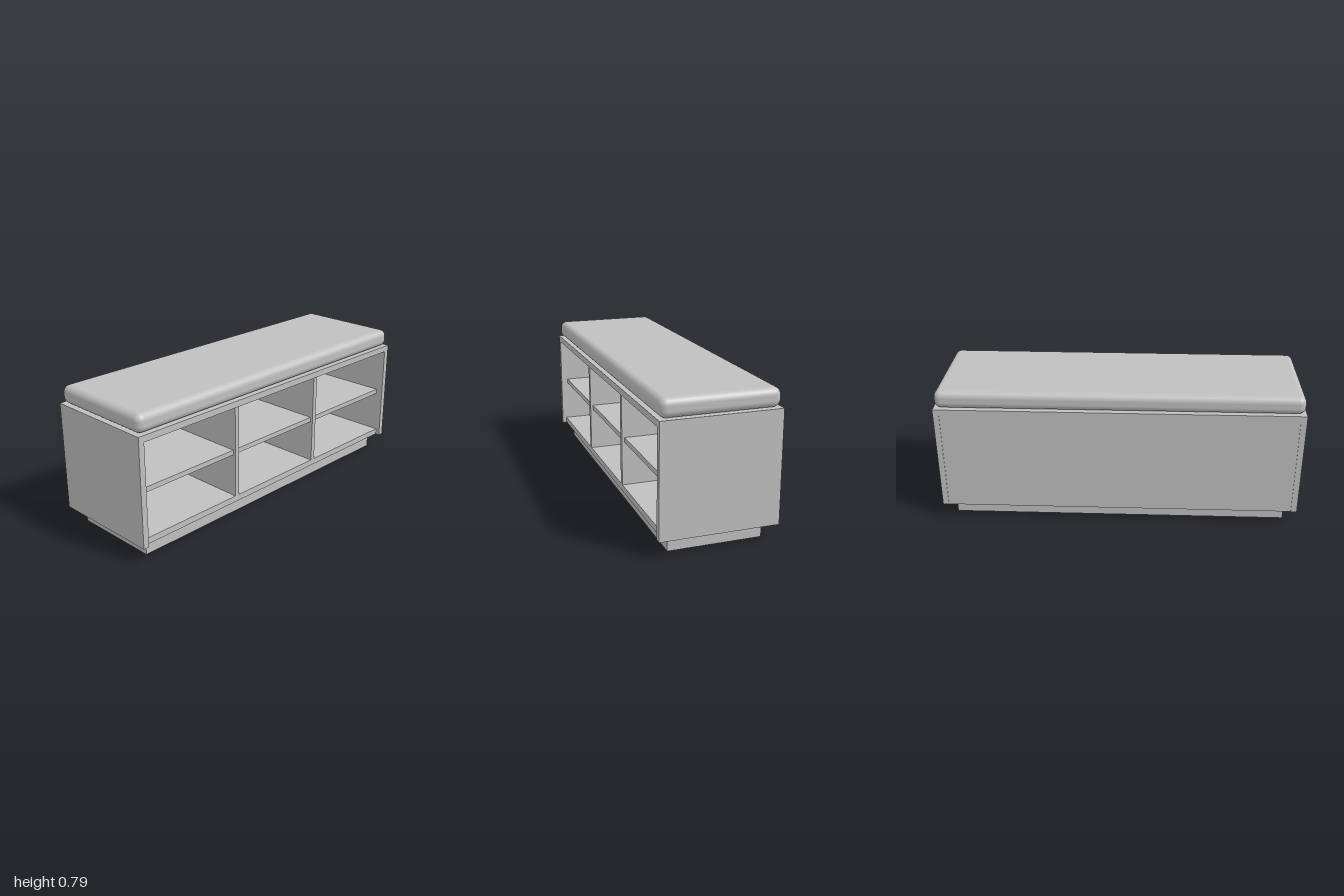
import * as THREE from 'three';
import { RoundedBoxGeometry } from 'three/addons/geometries/RoundedBoxGeometry.js';

export function createModel() {
  const bench = new THREE.Group();
  bench.name = 'storageBench';
  const grey = new THREE.MeshStandardMaterial({ color: 0xc0c0c0 });
  grey.name = 'light grey';

  // Adds a board spanning the given limits on each axis
  const board = (name, [x0, x1], [y0, y1], [z0, z1]) => {
    const mesh = new THREE.Mesh(new THREE.BoxGeometry(x1 - x0, y1 - y0, z1 - z0), grey);
    mesh.position.set((x0 + x1) / 2, (y0 + y1) / 2, (z0 + z1) / 2);
    mesh.name = name;
    bench.add(mesh);
  };

  const D = 0.315, inner = 0.967, low = 0.085, floor = 0.12, ceiling = 0.65, high = 0.685;
  const backFace = -D + 0.02, fit = 0.29;

  // Recessed base
  board('plinth', [-0.935, 0.935], [0, low], [-0.25, 0.25]);

  // Carcass
  board('topPanel', [-1, 1], [ceiling, high], [-D, D]);
  board('leftSide', [inner, 1], [low, ceiling], [-D, D]);
  board('rightSide', [-1, -inner], [low, ceiling], [-D, D]);
  board('bottomPanel', [-inner, inner], [low, floor], [-D + 0.003, fit]);
  board('backPanel', [-inner, inner], [floor, ceiling], [-D + 0.003, backFace]);

  // Upright dividers
  for (const x of [-0.321, 0.321]) {
    board('divider', [x - 0.014, x + 0.014], [floor, ceiling], [backFace, fit]);
  }

  // One shelf in each bay
  for (const [a, b] of [[-inner, -0.335], [-0.307, 0.307], [0.335, inner]]) {
    board('shelf', [a, b], [0.362, 0.39], [backFace, 0.275]);
  }

  // Soft seat pad
  const cushion = new THREE.Mesh(new RoundedBoxGeometry(1.984, 0.1, 0.617, 6, 0.038), grey);
  cushion.position.y = high + 0.05;
  cushion.name = 'cushion';
  bench.add(cushion);

  return bench;
}
